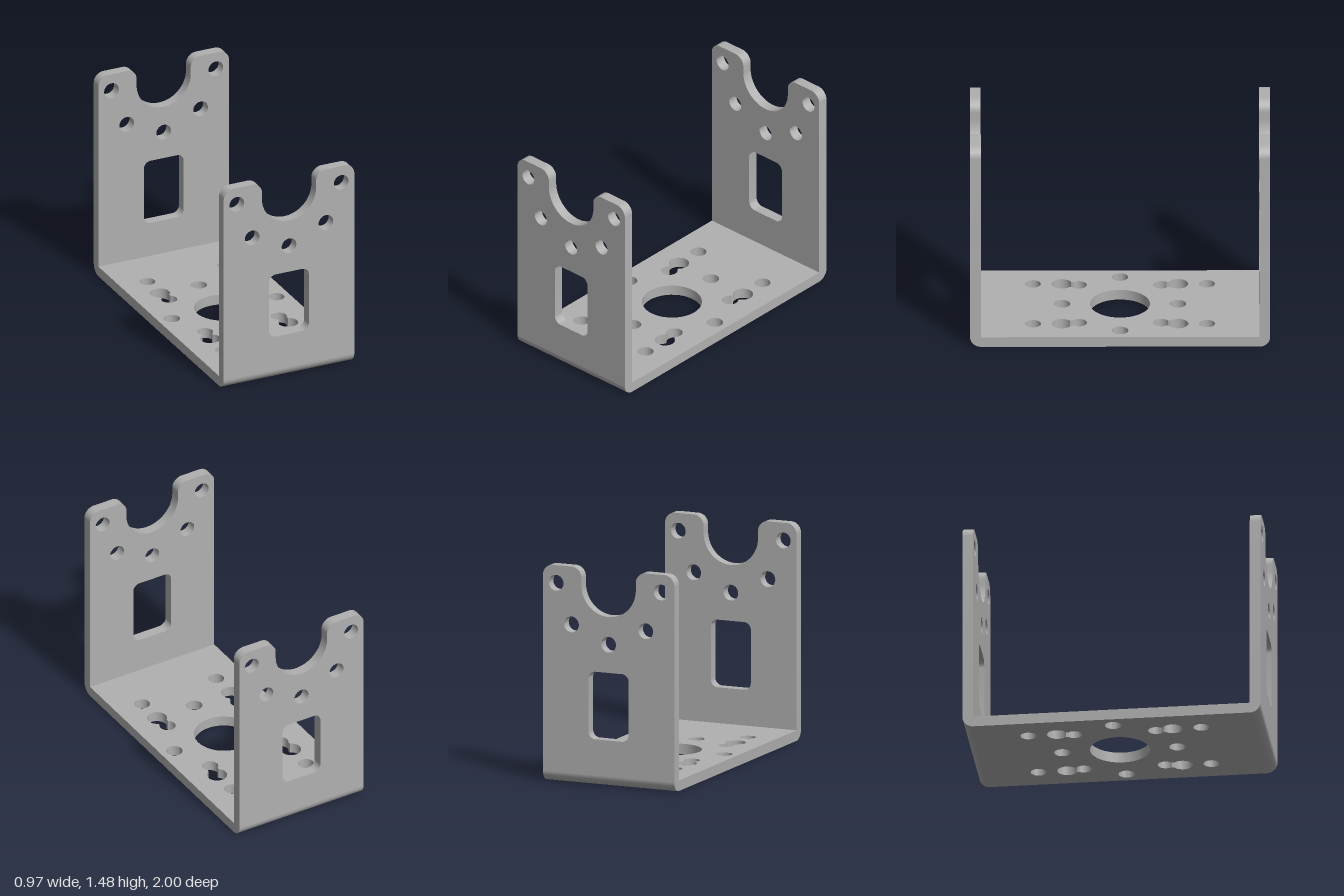
import * as THREE from 'three';
import { toCreasedNormals } from 'three/addons/utils/BufferGeometryUtils.js';

const W = 0.483, T = 0.072, H = 1.475; // half width, sheet thickness, arm height

function circle(x, y, r) {
  const p = new THREE.Path();
  p.absarc(x, y, r, 0, Math.PI * 2, true);
  return p;
}

function roundedWindow(x, y0, y1, r) {
  const p = new THREE.Path();
  p.absarc(x - r, y1 - r, r, 0, Math.PI / 2);
  p.absarc(-x + r, y1 - r, r, Math.PI / 2, Math.PI);
  p.absarc(-x + r, y0 + r, r, Math.PI, Math.PI * 1.5);
  p.absarc(x - r, y0 + r, r, Math.PI * 1.5, Math.PI * 2);
  p.closePath();
  return p;
}

// Large and small circle joined by a narrow neck, mirrored by sx and sy
function keyhole(sx, sy) {
  const big = [0.288, 0.387, 0.068], small = [0.273, 0.275, 0.054], neck = 0.036;
  const toSmall = Math.atan2(small[1] - big[1], small[0] - big[0]);
  const pts = [];
  for (const [[x, y, r], dir] of [[big, toSmall], [small, toSmall + Math.PI]]) {
    const a = Math.asin(neck / r), n = 28;
    for (let i = 0; i <= n; i++) {
      const t = dir + a + (Math.PI * 2 - 2 * a) * i / n;
      pts.push(new THREE.Vector2(sx * (x + r * Math.cos(t)), sy * (y + r * Math.sin(t))));
    }
  }
  return new THREE.Path(pts);
}

function plate(shape) {
  const g = new THREE.ExtrudeGeometry(shape, { depth: T, bevelEnabled: false, curveSegments: 20 });
  return toCreasedNormals(g, 0.6);
}

function armShape() {
  const r = 0.072, n = 0.2, cy = 1.355, q = Math.PI / 2;
  const s = new THREE.Shape();
  s.moveTo(-W, T);
  s.lineTo(W, T);
  s.absarc(W - r, H - r, r, 0, q);
  s.absarc(n + r, H - r, r, q, Math.PI);
  s.absarc(0, cy, n, 0, -Math.PI, true); // round notch
  s.absarc(-n - r, H - r, r, 0, q);
  s.absarc(-W + r, H - r, r, q, Math.PI);
  s.closePath();
  s.holes.push(circle(0, 0.967, 0.054), roundedWindow(0.147, 0.315, 0.775, 0.05));
  for (const m of [-1, 1]) s.holes.push(circle(m * 0.386, 1.355, 0.054), circle(m * 0.273, 1.082, 0.054));
  return s;
}

function baseShape() {
  const z = 1 - T;
  const s = new THREE.Shape();
  s.moveTo(-W, -z);
  s.lineTo(W, -z);
  s.lineTo(W, z);
  s.lineTo(-W, z);
  s.closePath();
  s.holes.push(circle(0, 0, 0.2));
  for (const m of [-1, 1]) {
    s.holes.push(circle(m * 0.386, 0, 0.055), circle(0, m * 0.386, 0.055));
    for (const k of [-1, 1]) s.holes.push(circle(m * 0.288, k * 0.58, 0.053), keyhole(m, k));
  }
  return s;
}

export function createModel() {
  const steel = new THREE.MeshStandardMaterial({ color: 0xb0b0b0 });
  steel.name = 'grey steel';
  const model = new THREE.Group();
  model.name = 'mountingBracket';
  const add = (name, geometry) => {
    const mesh = new THREE.Mesh(geometry, steel);
    mesh.name = name;
    model.add(mesh);
  };

  add('basePlate', plate(baseShape()).rotateX(-Math.PI / 2));
  add('frontArm', plate(armShape()).translate(0, 0, 1 - T));
  add('backArm', plate(armShape()).translate(0, 0, -1));

  // Rounded outer bends between base and arms
  for (const [name, side, start] of [['frontBend', 1, 1.5], ['backBend', -1, 1]]) {
    const bend = new THREE.CylinderGeometry(T, T, 2 * W, 16, 1, false, start * Math.PI, Math.PI / 2);
    add(name, bend.rotateZ(Math.PI / 2).translate(0, T, side * (1 - T)));
  }
  return model;
}
